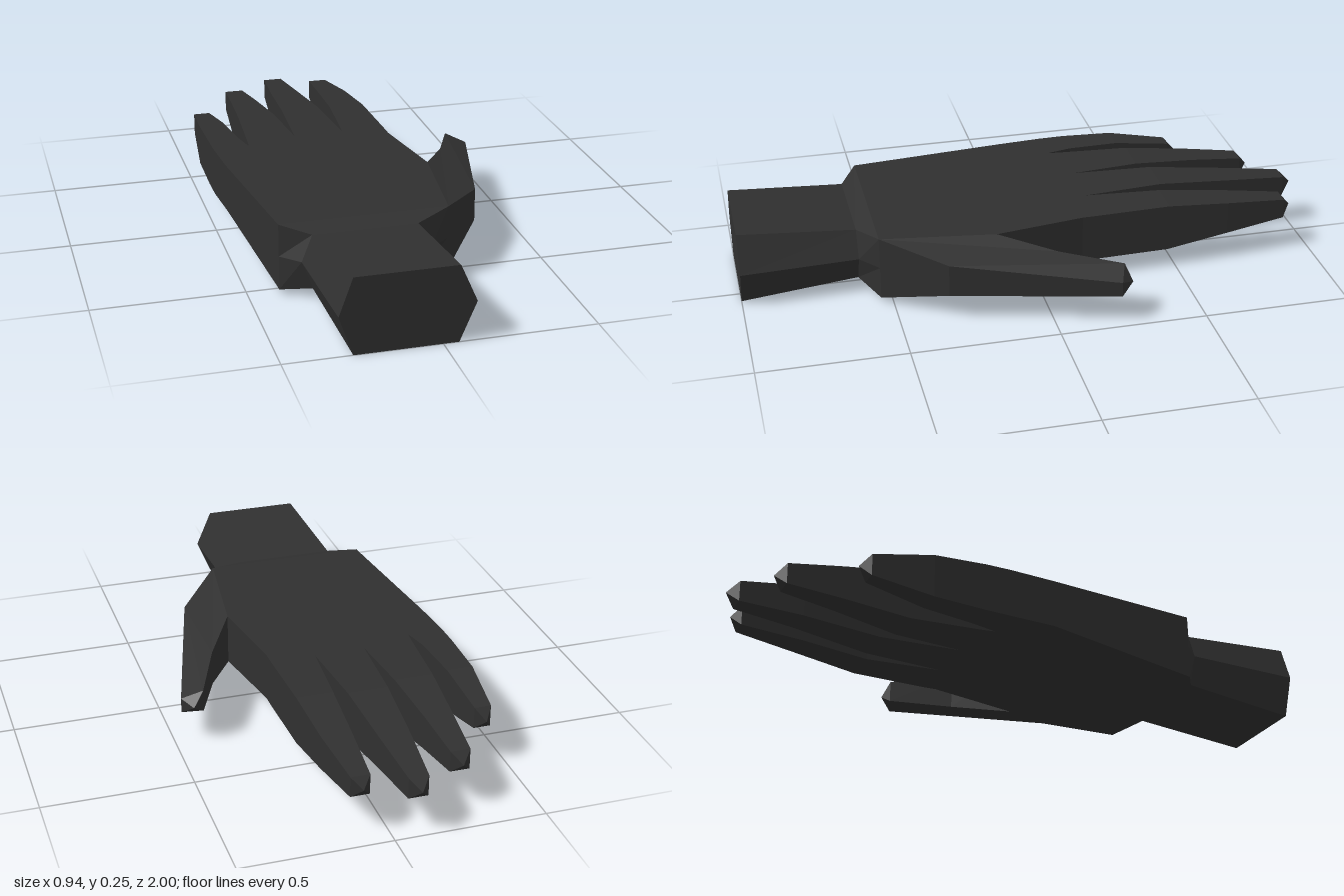
import * as THREE from 'three';

// Skin a list of rings (counter-clockwise seen from the start), optional start cap and pointed end
function loft(rings, { cap = false, tip = null } = {}) {
  const pos = [];
  const tri = (a, b, c) => pos.push(...a, ...b, ...c);
  const n = rings[0].length;
  for (let s = 0; s < rings.length - 1; s++) {
    const a = rings[s], b = rings[s + 1];
    for (let i = 0; i < n; i++) {
      const j = (i + 1) % n;
      tri(a[i], b[i], b[j]);
      tri(a[i], b[j], a[j]);
    }
  }
  if (cap) for (let i = 1; i < n - 1; i++) tri(rings[0][0], rings[0][i], rings[0][i + 1]);
  if (tip) {
    const e = rings[rings.length - 1];
    for (let i = 0; i < n; i++) tri(e[(i + 1) % n], e[i], tip);
  }
  const g = new THREE.BufferGeometry();
  g.setAttribute('position', new THREE.Float32BufferAttribute(pos, 3));
  g.computeVertexNormals();
  return g;
}

// Four-cornered ring: left x, z; right x, z; bottom and top y (optionally other y on the right)
const quad = ([xl, zl, xr, zr, y0, y1, r0 = y0, r1 = y1]) =>
  [[xl, y0, zl], [xr, r0, zr], [xr, r1, zr], [xl, y1, zl]];

// Six-cornered ring: flat top and bottom between x0 and x1, side corners at xl and xr
const hex = (z, xl, x0, x1, xr, y0, y1) => {
  const m = 0.13;
  return [[x0, y0, z], [x1, y0, z], [xr, m, z], [x1, y1, z], [x0, y1, z], [xl, m, z]];
};

export function createModel() {
  const group = new THREE.Group();
  const charcoal = new THREE.MeshStandardMaterial({ color: 0x303030, flatShading: true });
  charcoal.name = 'charcoal';
  const add = (name, geometry) => {
    const mesh = new THREE.Mesh(geometry, charcoal);
    mesh.name = name;
    group.add(mesh);
  };

  // Wrist stub, flaring into the heel of the hand
  add('wrist', loft([
    hex(1, -0.325, -0.28, 0.05, 0.105, 0, 0.255),
    hex(0.6, -0.34, -0.305, 0.04, 0.085, 0.035, 0.22),
    hex(0.54, -0.4, -0.4, 0.16, 0.16, 0.015, 0.24),
  ], { cap: true }));

  // Palm
  add('palm', loft([
    [-0.4, 0.54, 0.16, 0.54, 0.015, 0.24],
    [-0.46, 0, 0.21, 0.15, 0.07, 0.235, 0.058, 0.237],
    [-0.472, -0.16, 0.16, -0.16, 0.068, 0.235],
  ].map(quad)));

  // Fingers, each starting at the knuckle line
  const fingers = {
    littleFinger: {
      rings: [
        [-0.472, -0.16, -0.347, -0.16, 0.068, 0.235],
        [-0.474, -0.25, -0.367, -0.25, 0.07, 0.235],
        [-0.475, -0.43, -0.385, -0.43, 0.08, 0.228],
        [-0.457, -0.635, -0.4, -0.635, 0.12, 0.195],
      ],
      tip: [-0.43, 0.157, -0.67],
    },
    ringFinger: {
      rings: [
        [-0.347, -0.16, -0.17, -0.16, 0.068, 0.235],
        [-0.342, -0.21, -0.17, -0.21, 0.067, 0.235],
        [-0.325, -0.45, -0.192, -0.45, 0.067, 0.235],
        [-0.308, -0.67, -0.212, -0.67, 0.098, 0.215],
        [-0.294, -0.86, -0.228, -0.86, 0.12, 0.192],
      ],
      tip: [-0.26, 0.156, -0.894],
    },
    middleFinger: {
      rings: [
        [-0.17, -0.16, 0.005, -0.16, 0.068, 0.235],
        [-0.17, -0.21, 0.005, -0.21, 0.067, 0.235],
        [-0.155, -0.49, -0.018, -0.49, 0.067, 0.235],
        [-0.138, -0.75, -0.036, -0.75, 0.1, 0.21],
        [-0.118, -0.963, -0.052, -0.963, 0.118, 0.19],
      ],
      tip: [-0.085, 0.155, -1],
    },
    indexFinger: {
      rings: [
        [0.005, -0.16, 0.16, -0.16, 0.068, 0.235],
        [0.005, -0.21, 0.159, -0.21, 0.067, 0.235],
        [0.025, -0.47, 0.15, -0.47, 0.067, 0.235],
        [0.037, -0.69, 0.139, -0.69, 0.098, 0.215],
        [0.05, -0.905, 0.114, -0.905, 0.12, 0.19],
      ],
      tip: [0.081, 0.155, -0.936],
    },
    // Thumb: left is its inner side, right its outer side
    thumb: {
      rings: [
        [0.21, 0.15, 0.16, 0.54, 0.058, 0.237, 0.015, 0.24],
        [0.315, -0.035, 0.32, 0.335, 0.085, 0.205, 0.087, 0.2],
        [0.4, -0.24, 0.47, -0.215, 0.105, 0.18, 0.096, 0.148],
      ],
      tip: [0.437, 0.13, -0.26],
    },
  };
  for (const [name, { rings, tip }] of Object.entries(fingers)) {
    add(name, loft(rings.map(quad), { tip }));
  }
  return group;
}
